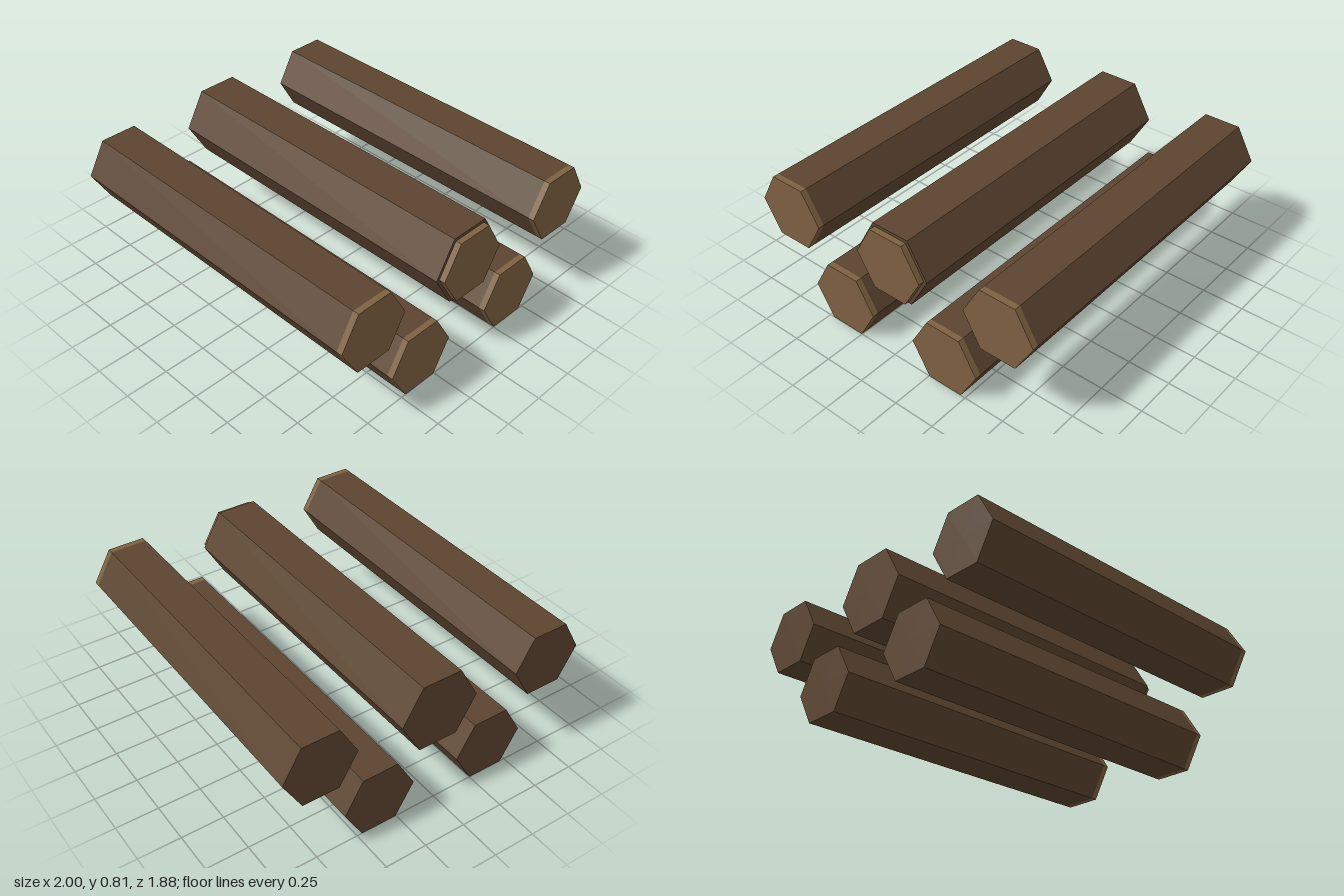
import * as THREE from 'three';

const bark = new THREE.MeshStandardMaterial({ color: 0x5c4530, flatShading: true });
const wood = new THREE.MeshStandardMaterial({ color: 0x7d6040, flatShading: true });

// Six-sided prism lying along x, with an edge pointing to the front
function prism(name, radius, x0, x1, material) {
  const geometry = new THREE.CylinderGeometry(radius, radius, x1 - x0, 6);
  geometry.rotateZ(-Math.PI / 2);
  const mesh = new THREE.Mesh(geometry, material);
  mesh.name = name;
  mesh.position.x = (x0 + x1) / 2;
  return mesh;
}

// Dark log with a pale cut end on its left
function makeLog(name, y, z, barkRadius) {
  const log = new THREE.Group();
  log.name = name;
  log.add(prism('bark', barkRadius, -1, 0.965, bark));
  log.add(prism('cutEnd', 0.217, 0.965, 1, wood));
  log.position.set(0, y, z);
  return log;
}

export function createModel() {
  const model = new THREE.Group();
  model.name = 'logPile';

  // Bottom row of two, top row of three with a thicker middle log
  for (const [name, y, z, radius] of [
    ['lowerFrontLog', 0.188, 0.361, 0.217],
    ['lowerBackLog', 0.188, -0.361, 0.217],
    ['upperFrontLog', 0.605, 0.722, 0.217],
    ['upperMiddleLog', 0.605, 0, 0.238],
    ['upperBackLog', 0.605, -0.722, 0.217],
  ]) model.add(makeLog(name, y, z, radius));

  return model;
}
